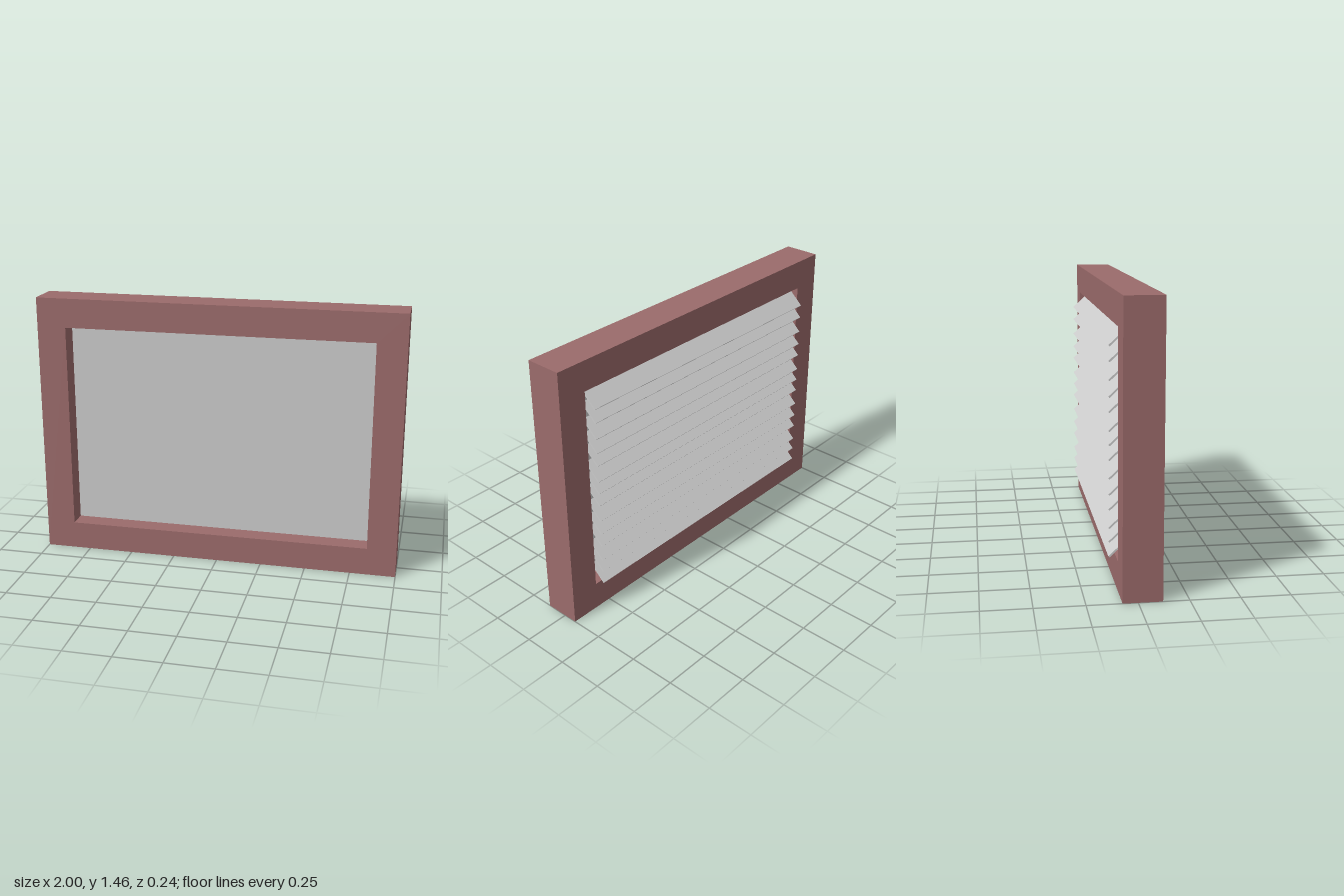
import * as THREE from 'three';

const W = 2, H = 1.46, BACK = -0.076, FRONT = 0.12;
const OPEN = { x: 0.84, bottom: 0.153, top: 1.3 };

export function createModel() {
  const group = new THREE.Group();
  const wood = new THREE.MeshStandardMaterial({ color: 0x9b6b6b });
  const grey = new THREE.MeshStandardMaterial({ color: 0xcccccc });

  const add = (name, geometry, material, x, y, z) => {
    const mesh = new THREE.Mesh(geometry, material);
    mesh.name = name;
    mesh.position.set(x, y, z);
    group.add(mesh);
    return mesh;
  };

  const rectangle = (path, x, bottom, top) => path
    .moveTo(-x, bottom).lineTo(x, bottom).lineTo(x, top).lineTo(-x, top).closePath();

  // Frame with a rectangular opening
  const outline = new THREE.Shape();
  rectangle(outline, W / 2, 0, H);
  const hole = new THREE.Path();
  rectangle(hole, OPEN.x, OPEN.bottom, OPEN.top);
  outline.holes.push(hole);
  const frame = new THREE.ExtrudeGeometry(outline, { depth: FRONT - BACK, bevelEnabled: false });
  add('frame', frame, wood, 0, 0, BACK);

  // Thin pane filling the opening
  const paneHeight = OPEN.top - OPEN.bottom;
  add('pane', new THREE.BoxGeometry(OPEN.x * 2, paneHeight, 0.006), grey,
    0, OPEN.bottom + paneHeight / 2, 0.012);

  // Sloping slats behind the pane, slightly unevenly spaced; heights of their lower edges
  const heights = [1.205, 1.13, 1.04, 0.96, 0.887, 0.795, 0.725, 0.653, 0.56, 0.48, 0.405, 0.313, 0.243, 0.168];
  const slatWidth = 0.122, tilt = 0.75;
  const slat = new THREE.BoxGeometry(1.64, 0.009, slatWidth);
  const rise = Math.sin(tilt) * slatWidth / 2, run = Math.cos(tilt) * slatWidth / 2;
  heights.forEach((y, i) => {
    const mesh = add(`slat${i + 1}`, slat, grey, 0, y + 0.003 + rise, -0.117 + run);
    mesh.rotation.x = -tilt;
  });

  return group;
}
